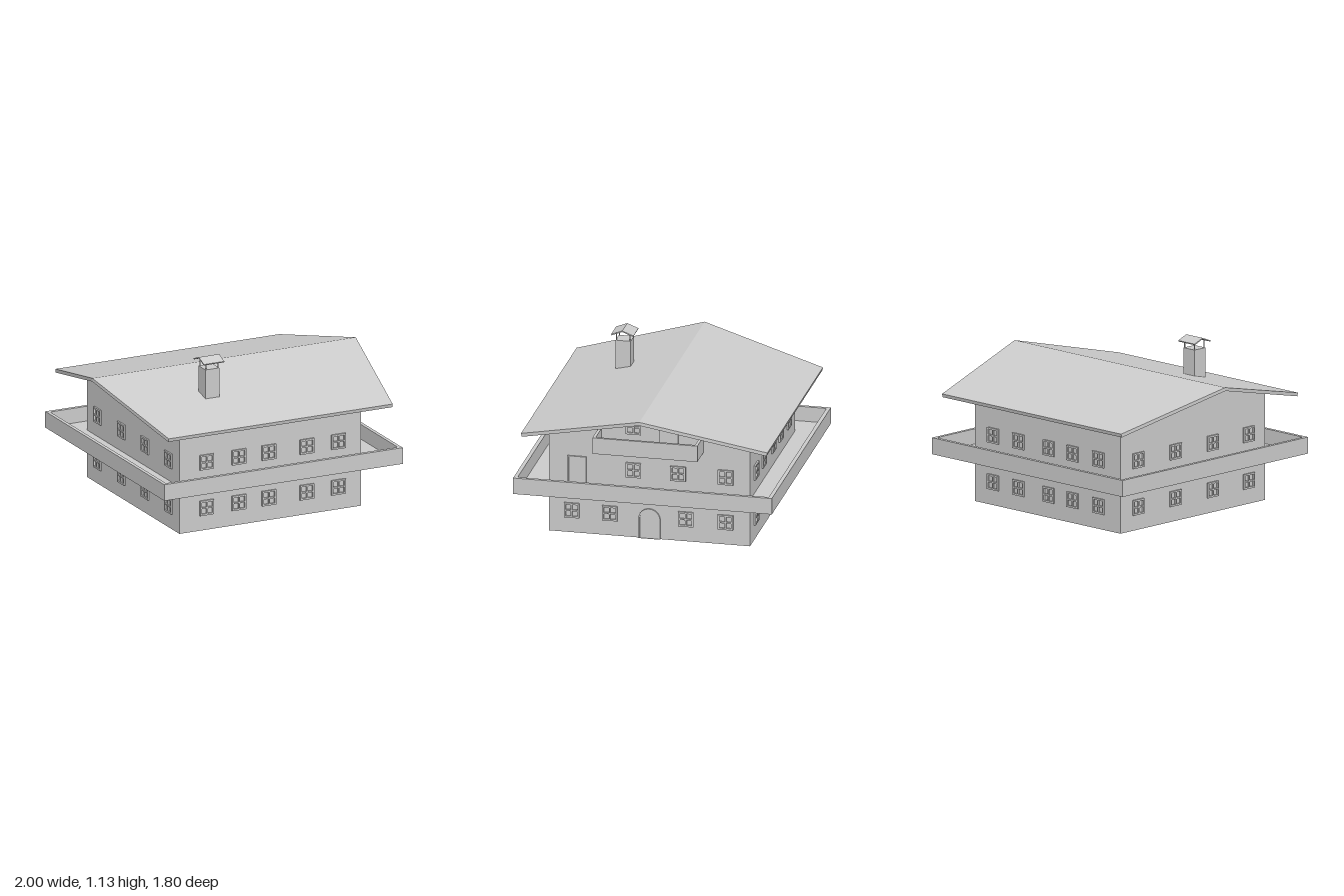
import * as THREE from 'three';

const material = new THREE.MeshStandardMaterial({ color: 0xcccccc, flatShading: true });
const WX = 0.69, WZ = 0.7, EAVE = 0.76;

function add(parent, name, geometry, x = 0, y = 0, z = 0) {
  const mesh = new THREE.Mesh(geometry, material);
  mesh.name = name;
  mesh.position.set(x, y, z);
  parent.add(mesh);
  return mesh;
}

function rect(x0, y0, x1, y1, Type = THREE.Shape) {
  return new Type([[x0, y0], [x1, y0], [x1, y1], [x0, y1]].map(p => new THREE.Vector2(...p)));
}

const extrude = (shape, depth) =>
  new THREE.ExtrudeGeometry(shape, { depth, bevelEnabled: false, curveSegments: 12 });

// Profile given as [z, y] points, extruded along x and centred on x = 0
function alongX(points, length) {
  const shape = new THREE.Shape(points.map(p => new THREE.Vector2(-p[0], p[1])));
  return extrude(shape, length).rotateY(Math.PI / 2).translate(-length / 2, 0, 0);
}

// Gabled sheet: ridge height, eave half width and height, thickness
function gableSheet(ridge, w, eave, t, length) {
  const s = (ridge - eave) / w;
  const dz = s * t;
  return alongX([[w, eave], [0, ridge], [-w, eave], [-w + dz, eave - t], [0, ridge - t], [w - dz, eave - t]], length);
}

// Surface through rectangular loops [x0, x1, z0, z1, y]
function rectLoft(loops) {
  const pos = [];
  const rings = loops.map(([x0, x1, z0, z1, y]) => [[x0, y, z1], [x1, y, z1], [x1, y, z0], [x0, y, z0]]);
  for (let i = 0; i < rings.length - 1; i++) {
    for (let k = 0; k < 4; k++) {
      const n = (k + 1) % 4;
      const a = rings[i][k], b = rings[i][n], c = rings[i + 1][n], d = rings[i + 1][k];
      pos.push(...a, ...b, ...c, ...a, ...c, ...d);
    }
  }
  const g = new THREE.BufferGeometry();
  g.setAttribute('position', new THREE.Float32BufferAttribute(pos, 3));
  g.computeVertexNormals();
  return g;
}

// Four-pane window frame, centred
function windowGeometry() {
  const h = 0.053, b = 0.012, m = 0.005;
  const shape = rect(-h, -h, h, h);
  for (const sx of [-1, 1]) for (const sy of [-1, 1]) {
    const xs = [sx * m, sx * (h - b)].sort((p, q) => p - q);
    const ys = [sy * m, sy * (h - b)].sort((p, q) => p - q);
    shape.holes.push(rect(xs[0], ys[0], xs[1], ys[1], THREE.Path));
  }
  return extrude(shape, 0.012);
}

// Door opening outline, standing on y = 0, with a square or round top
function doorOutline(w, h, arched, Type) {
  if (!arched) return rect(-w, 0, w, h, Type);
  const p = new Type();
  p.moveTo(-w, 0);
  p.lineTo(w, 0);
  p.lineTo(w, h - w);
  p.absarc(0, h - w, w, 0, Math.PI, false);
  p.lineTo(-w, 0);
  return p;
}

function makeDoor(w, h, arched) {
  const door = new THREE.Group();
  const b = 0.01;
  const frame = doorOutline(w, h, arched, THREE.Shape);
  const hole = doorOutline(w - b, h - b, arched, THREE.Path);
  frame.holes.push(hole);
  add(door, 'doorFrame', extrude(frame, 0.012));
  add(door, 'doorPanel', extrude(doorOutline(w - b, h - b, arched, THREE.Shape), 0.004));
  return door;
}

// Put a part on a wall; u runs along x on front and back, along z on the sides
function place(part, side, u, y) {
  const spots = {
    front: [u, WZ, 0], back: [u, -WZ, Math.PI],
    left: [WX, u, Math.PI / 2], right: [-WX, u, -Math.PI / 2],
  };
  const [x, z, turn] = spots[side];
  part.position.set(x, y, z);
  part.rotation.y = turn;
}

export function createModel() {
  const house = new THREE.Group();
  house.name = 'chalet';

  // Walls, open underneath, closed above by the solid gable
  const plan = rect(-WX, -WZ, WX, WZ);
  plan.holes.push(rect(-WX + 0.015, -WZ + 0.015, WX - 0.015, WZ - 0.015, THREE.Path));
  add(house, 'walls', extrude(plan, EAVE).rotateX(-Math.PI / 2));
  add(house, 'gable', alongX([[WZ, EAVE], [0, 0.93], [-WZ, EAVE]], 2 * WX));

  // Roof, its ends running out to a point at the ridge
  const roof = gableSheet(0.952, 0.857, 0.747, 0.024, 2);
  const p = roof.attributes.position;
  for (let i = 0; i < p.count; i++) {
    p.setX(i, Math.sign(p.getX(i)) * (1 - 0.15 * Math.abs(p.getZ(i)) / 0.857));
  }
  roof.computeVertexNormals();
  add(house, 'roof', roof);

  // Balcony around the whole house
  const ring = (x, z, y) => [-x, x, -z, z, y];
  add(house, 'mainBalcony', rectLoft([
    ring(WX, WZ, 0.26), ring(0.905, 0.9, 0.325), ring(0.905, 0.9, 0.44),
    ring(0.88, 0.873, 0.44), ring(0.88, 0.873, 0.335), ring(WX, WZ, 0.335),
  ]));

  // Small balcony under the gable
  add(house, 'upperBalcony', rectLoft([
    [0.68, 0.695, -0.265, 0.265, 0.615], [0.68, 0.875, -0.375, 0.355, 0.65],
    [0.68, 0.875, -0.375, 0.355, 0.765], [0.68, 0.855, -0.355, 0.335, 0.765],
    [0.68, 0.855, -0.355, 0.335, 0.66], [0.68, 0.68, -0.355, 0.335, 0.66],
  ]));

  // Windows: rows of positions per wall
  const long = [-0.485, -0.24, -0.013, 0.275, 0.515];
  const rear = [-0.53, -0.17, 0.19, 0.54];
  const rows = [
    ['front', 0.16, long], ['front', 0.485, long],
    ['back', 0.16, long], ['back', 0.485, long],
    ['right', 0.16, rear], ['right', 0.485, rear],
    ['left', 0.16, [-0.53, -0.255, 0.275, 0.54]],
    ['left', 0.485, [-0.53, -0.2, 0.11]], ['left', 0.798, [0.11]],
  ];
  const pane = windowGeometry();
  for (const [side, y, spots] of rows) {
    for (const u of spots) place(add(house, 'window', pane), side, u, y);
  }

  // Doors: name, position along the wall, sill, half width, height, round top
  for (const [name, u, y, w, h, arched] of [
    ['entranceDoor', 0, 0, 0.076, 0.215, true],
    ['balconyDoor', 0.503, 0.335, 0.066, 0.22, false],
    ['upperDoor', -0.135, 0.66, 0.066, 0.215, false],
  ]) {
    const door = makeDoor(w, h, arched);
    door.name = name;
    place(door, 'left', u, y);
    house.add(door);
  }

  // Chimney with a raised gabled cap
  const chimney = new THREE.Group();
  chimney.name = 'chimney';
  chimney.position.set(-0.315, 0, 0.4);
  add(chimney, 'chimneyStack', new THREE.BoxGeometry(0.105, 0.22, 0.105), 0, 0.94, 0);
  for (const sx of [-1, 1]) for (const sz of [-1, 1]) {
    add(chimney, 'capPost', new THREE.BoxGeometry(0.006, 0.06, 0.006), sx * 0.046, 1.08, sz * 0.046);
  }
  add(chimney, 'chimneyCap', gableSheet(1.13, 0.078, 1.1, 0.008, 0.155));
  house.add(chimney);

  return house;
}
